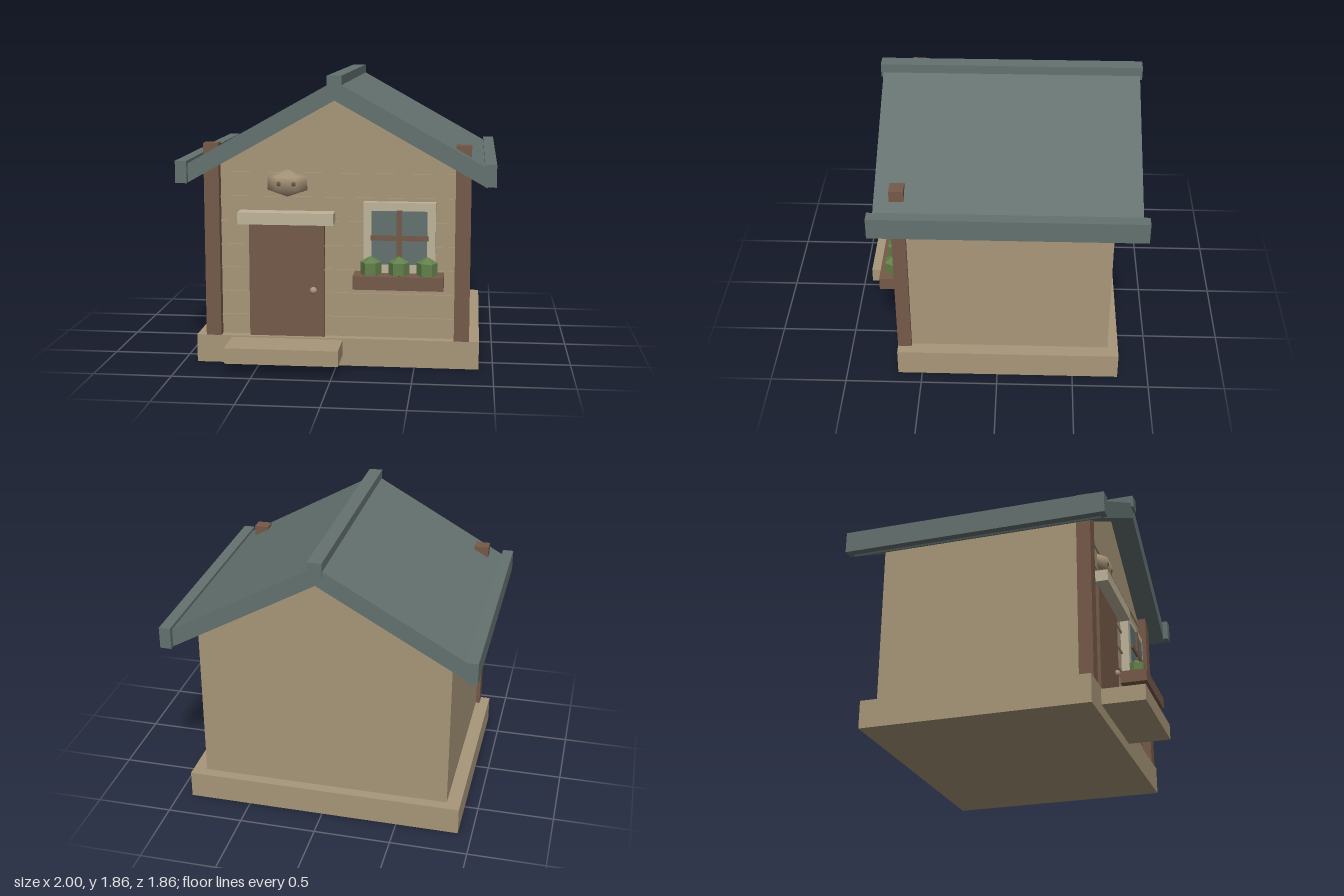
import * as THREE from 'three';

const mat = (name, color, flatShading = false) => {
  const m = new THREE.MeshStandardMaterial({ color, flatShading });
  m.name = name;
  return m;
};

export function createModel() {
  const tan = mat('tan', 0xa89679);
  const cream = mat('cream', 0xbfb49a);
  const brown = mat('brown', 0x755a48);
  const slate = mat('slate', 0x64726f);
  const green = mat('green', 0x63804b, true);

  const house = new THREE.Group();
  house.name = 'cottage';

  const add = (name, geometry, material) => {
    const mesh = new THREE.Mesh(geometry, material);
    mesh.name = name;
    house.add(mesh);
    return mesh;
  };
  // Box given by its limits on each axis
  const box = (name, material, x0, x1, y0, y1, z0, z1) => {
    const mesh = add(name, new THREE.BoxGeometry(x1 - x0, y1 - y0, z1 - z0), material);
    mesh.position.set((x0 + x1) / 2, (y0 + y1) / 2, (z0 + z1) / 2);
    return mesh;
  };
  // Outline in x and y, extruded from z0 to z1
  const prism = (name, material, points, z0, z1) => {
    const shape = new THREE.Shape(points.map(([x, y]) => new THREE.Vector2(x, y)));
    const geometry = new THREE.ExtrudeGeometry(shape, { depth: z1 - z0, bevelEnabled: false });
    return add(name, geometry.translate(0, 0, z0), material);
  };

  // Base, front step and gabled body
  box('base', tan, -0.91, 0.91, 0, 0.18, -0.8, 0.66);
  box('frontStep', tan, -0.68, 0.04, 0.07, 0.17, 0.6, 0.93);
  prism('walls', tan,
    [[-0.82, 0.17], [0.82, 0.17], [0.82, 1.26], [0, 1.72], [-0.82, 1.26]], -0.73, 0.6);

  // Plank seams across the front
  for (let i = 0; i < 7; i++) {
    const y = 0.306 + i * 0.155;
    box('plankSeam', tan, -0.76, 0.76, y - 0.006, y + 0.006, 0.59, 0.612);
  }

  // Roof slab, ridge cap and eave boards
  prism('roof', slate,
    [[0.945, 1.18], [0.996, 1.272], [0, 1.83], [-0.996, 1.272], [-0.945, 1.18], [0, 1.71]], -0.89, 0.755);
  box('ridgeCap', slate, -0.045, 0.045, 1.775, 1.863, -0.905, 0.77);
  for (const s of [-1, 1]) {
    const eave = box('eaveBoard', slate, 0.927, 1, 1.19, 1.33, -0.927, 0.79);
    eave.position.x *= s;
    // Corner posts poke through the roof
    const post = box('cornerPost', brown, 0.75, 0.847, 0.18, 1.43, 0.57, 0.66);
    post.position.x *= s;
  }

  // Door with lintel and knob
  box('door', brown, -0.565, -0.08, 0.18, 0.93, 0.59, 0.635);
  box('doorLintel', cream, -0.625, -0.013, 0.92, 0.996, 0.59, 0.71);
  add('doorKnob', new THREE.SphereGeometry(0.024, 10, 8), tan).position.set(-0.15, 0.485, 0.64);

  // Rounded ornament above the door with two small studs
  const ornament = add('ornament', new THREE.SphereGeometry(1, 6, 3), tan);
  ornament.scale.set(0.148, 0.0875, 0.07);
  ornament.position.set(-0.32, 1.173, 0.6);
  for (const x of [-0.368, -0.272]) {
    const stud = add('ornamentStud', new THREE.SphereGeometry(0.018, 6, 3), brown);
    stud.scale.z = 0.6;
    stud.position.set(x, 1.173, 0.65);
  }

  // Window: frame, pane and crossed bars
  box('windowFrame', cream, 0.172, 0.628, 0.615, 1.065, 0.59, 0.655);
  box('windowPane', slate, 0.225, 0.575, 0.67, 1.012, 0.65, 0.66);
  box('windowBarVertical', brown, 0.382, 0.417, 0.665, 1.018, 0.65, 0.672);
  box('windowBarHorizontal', brown, 0.22, 0.582, 0.825, 0.858, 0.65, 0.672);

  // Planter with three faceted shrubs
  box('planterBox', brown, 0.115, 0.683, 0.53, 0.615, 0.59, 0.78);
  for (const x of [0.223, 0.4, 0.577]) {
    add('shrub', new THREE.SphereGeometry(0.077, 6, 3), green).position.set(x, 0.654, 0.688);
  }

  return house;
}
